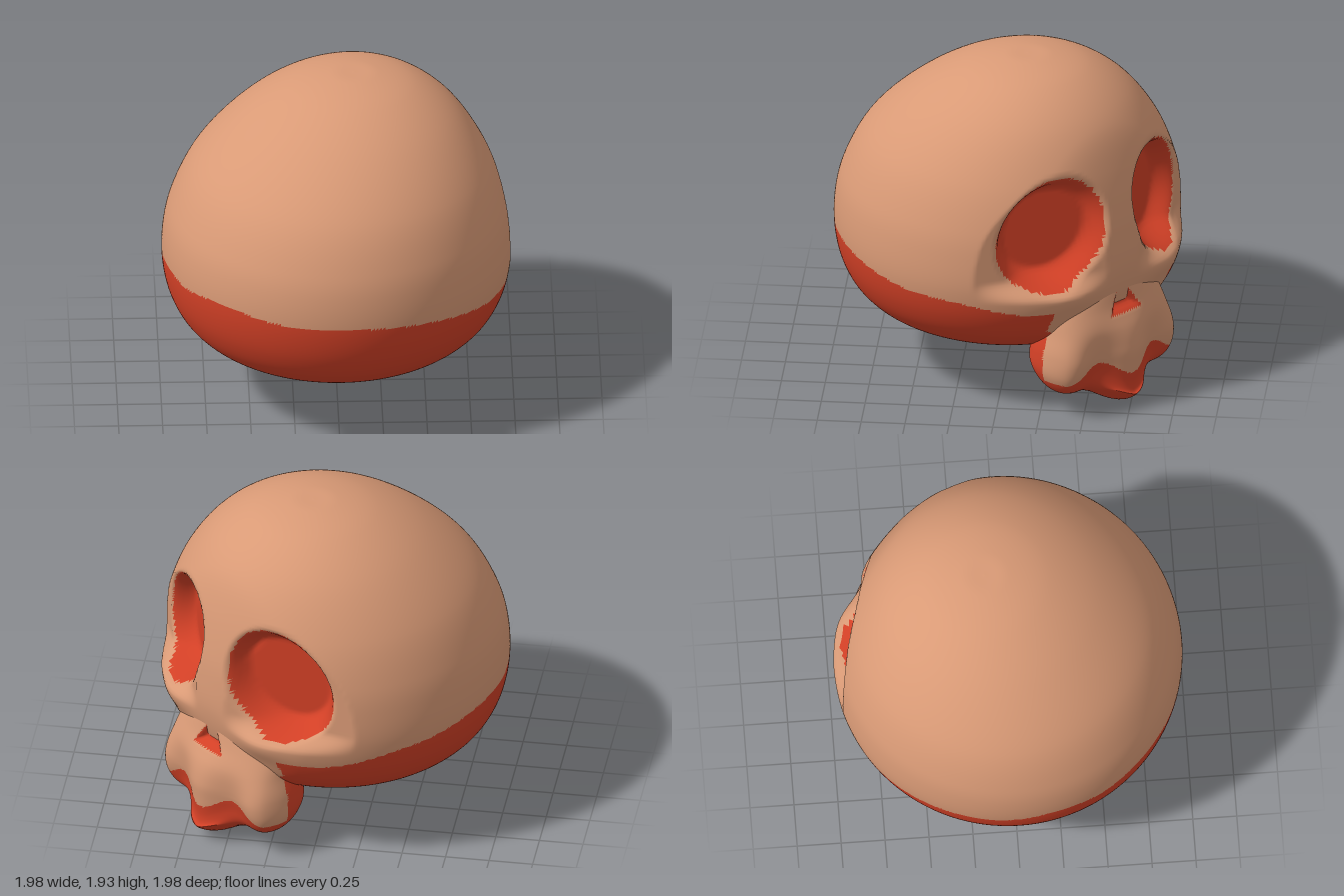
import * as THREE from 'three';

const bone = new THREE.MeshStandardMaterial({ color: 0xd99a76 });
bone.name = 'bone';
const red = new THREE.MeshStandardMaterial({ color: 0xd24026 });
red.name = 'red';

const { smoothstep, lerp } = THREE.MathUtils;

// Lofts closed rings along a spline of stations; place(station, angle) gives each corner.
function loft(stations, rows, segs, place) {
  const curve = new THREE.CatmullRomCurve3(stations.map((s) => new THREE.Vector3(...s)), false, 'centripetal');
  const pos = [], index = [];
  for (let i = 0; i <= rows; i++) {
    const s = curve.getPoint(i / rows);
    s.x = i === 0 || i === rows ? 0 : Math.max(s.x, 0.001);
    for (let j = 0; j < segs; j++) pos.push(...place(s, (j / segs) * Math.PI * 2));
  }
  for (let i = 0; i < rows; i++) {
    for (let j = 0; j < segs; j++) {
      const k = (j + 1) % segs;
      const a = i * segs + j, b = i * segs + k, c = a + segs, d = b + segs;
      index.push(a, b, d, a, d, c);
    }
  }
  const geo = new THREE.BufferGeometry();
  geo.setAttribute('position', new THREE.Float32BufferAttribute(pos, 3));
  geo.setIndex(index);
  geo.computeVertexNormals();
  return geo;
}

// Sorts the faces into a bone group and a red group by their centres.
function paint(geo, isRed) {
  const p = geo.attributes.position, idx = geo.index.array, parts = [[], []];
  for (let i = 0; i < idx.length; i += 3) {
    const t = [idx[i], idx[i + 1], idx[i + 2]];
    const mid = (get) => (get(t[0]) + get(t[1]) + get(t[2])) / 3;
    const r = isRed(mid((n) => p.getX(n)), mid((n) => p.getY(n)), mid((n) => p.getZ(n)));
    parts[r ? 1 : 0].push(...t);
  }
  geo.setIndex(parts[0].concat(parts[1]));
  geo.addGroup(0, parts[0].length, 0);
  geo.addGroup(parts[0].length, parts[1].length, 1);
  return geo;
}

// Distance from an eye centre, 1 on the rim of the tilted oval
function eyeDistance(x, y) {
  const v = y - 1.11;
  return Math.hypot((Math.abs(x) - 0.405 + 0.14 * v) / 0.29, v / 0.335);
}

// Cranium: radius, height and forward shift of each ring
function cranium() {
  const stations = [
    [0, 0.285, 0], [0.45, 0.295, 0], [0.73, 0.37, 0], [0.87, 0.48, 0], [0.95, 0.62, 0],
    [0.99, 0.8, 0], [0.985, 1.0, 0], [0.95, 1.17, 0.01], [0.84, 1.42, 0.04],
    [0.61, 1.69, 0.11], [0.36, 1.85, 0.15], [0.14, 1.91, 0.16], [0, 1.915, 0.16],
  ];
  const geo = loft(stations, 150, 300, (s, a) => {
    let x = s.x * Math.sin(a), z = s.x * Math.cos(a) + s.z;
    const y = s.y;
    if (z > 0) {
      // flat brow and cheekbones
      z -= 0.05 * smoothstep(z, 0.75, 1);
      const cheek = Math.hypot((Math.abs(x) - 0.38) / 0.17, (y - 0.73) / 0.1);
      z += 0.04 * Math.exp(-cheek * cheek);
      // slanted planes around the eyes, then the sockets
      const plane = Math.min(z, 1.0 - 0.54 * Math.abs(x));
      z = lerp(z, plane, smoothstep(y, 0.74, 0.86) * smoothstep(z, 0.3, 0.5));
      const dent = 0.13 * (1 - smoothstep(eyeDistance(x, y), 0.7, 1.07));
      z -= dent;
      x -= Math.sign(x) * dent * 0.25;
    }
    return [x, y, z];
  });
  return paint(geo, (x, y, z) => {
    if (z > 0 && eyeDistance(x, y) < 1) return true;
    if (z > 0.78 && Math.abs(x) < 0.46 && y > 0.4) return false;
    const front = smoothstep(z, 0.3, 0.7);
    return y < 0.78 - 0.1 * z - (x > 0 ? 0.06 : 0.03) * front + 0.012 * Math.sin(9 * x + 5 * z);
  });
}

// Upper jaw: half width, height and front reach of each ring
function upperJaw() {
  const stations = [
    [0, 0.01, 1.08], [0.25, 0.02, 1.0], [0.4, 0.09, 0.98], [0.46, 0.2, 0.99], [0.46, 0.36, 1.0],
    [0.43, 0.48, 0.99], [0.4, 0.6, 0.945], [0.33, 0.7, 0.92], [0.2, 0.78, 0.9], [0, 0.85, 0.84],
  ];
  const back = 0.48;
  const lobe = (x) => Math.cos((2 * Math.PI * x) / 0.42);
  // signed distance into the nose triangle
  const nose = (x, y, z) =>
    z < 0.75 ? -1 : Math.min(y - 0.56, 0.12 * (0.77 - y) / 0.21 - Math.abs(x));
  const square = (v) => Math.sign(v) * Math.abs(v) ** 0.82;
  const geo = loft(stations, 85, 200, (s, a) => {
    const x = s.x * square(Math.sin(a));
    const depth = ((s.z - back) / 2) * Math.min(1, s.x / 0.2);
    let z = (s.z + back) / 2 + depth * square(Math.cos(a));
    // tooth lobes along the lower edge, lowest in the middle
    const low = 1 - smoothstep(s.y, 0.08, 0.4);
    const y = s.y + low * (-0.03 * lobe(x) + 0.07 * Math.min(1, Math.abs(x) / 0.35) + 2 * (z - 0.8) ** 2);
    const front = smoothstep(Math.cos(a), 0, 0.5);
    z += front * 0.03 * lobe(x) * (1 - smoothstep(s.y, 0.3, 0.6));
    z -= 0.04 * smoothstep(nose(x, y, z), 0, 0.04);
    return [x, y, z];
  });
  return paint(geo, (x, y, z) =>
    nose(x, y, z) > 0 || y < 0.25 - 0.05 * lobe(x) || (z < 0.75 && y < 0.66));
}

export function createModel() {
  const skull = new THREE.Group();
  skull.name = 'skull';
  for (const [name, geo] of [['cranium', cranium()], ['upperJaw', upperJaw()]]) {
    const mesh = new THREE.Mesh(geo, [bone, red]);
    mesh.name = name;
    skull.add(mesh);
  }
  // the face looks back and to the left
  skull.rotation.y = THREE.MathUtils.degToRad(139.5);
  const model = new THREE.Group();
  model.name = 'model';
  model.add(skull);
  return model;
}
